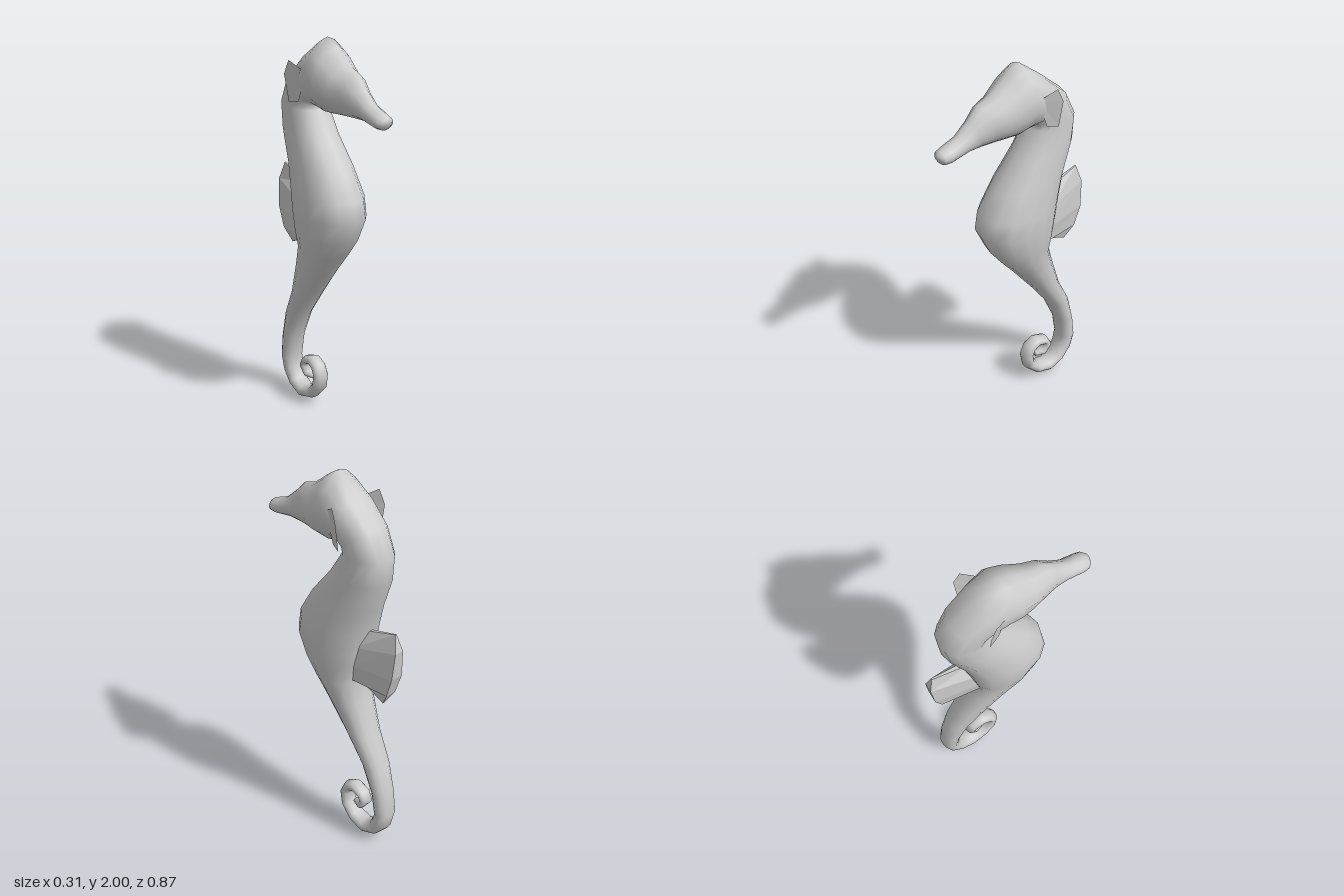
import * as THREE from 'three';

const material = new THREE.MeshStandardMaterial({ color: 0xcccccc });
const flat = new THREE.MeshStandardMaterial({ color: 0xcccccc, flatShading: true, side: THREE.DoubleSide });

// Closed skin over equal-sized rings, with a fan cap at both ends
function loft(rings) {
  const n = rings[0].length, last = (rings.length - 1) * n;
  const points = rings.flat(), index = [];
  const centre = ring => ring.reduce((s, p) => s.add(p), new THREE.Vector3()).divideScalar(n);
  points.push(centre(rings[0]), centre(rings[rings.length - 1]));
  for (let j = 0; j < n; j++) {
    const k = (j + 1) % n;
    for (let r = 0; r < last; r += n) {
      index.push(r + j, r + k, r + n + k, r + j, r + n + k, r + n + j);
    }
    index.push(points.length - 2, k, j, points.length - 1, last + j, last + k);
  }
  const geometry = new THREE.BufferGeometry().setFromPoints(points);
  geometry.setIndex(index);
  geometry.computeVertexNormals();
  return geometry;
}

// Ring between an inner and an outer point of the side profile
function section([zIn, yIn, zOut, yOut, width], roundness, sides = 14) {
  return Array.from({ length: sides }, (_, j) => {
    const t = j / sides * Math.PI * 2, s = Math.sin(t), c = Math.cos(t);
    return new THREE.Vector3(
      width * Math.sign(s) * Math.abs(s) ** roundness,
      (yIn + yOut) / 2 + (yOut - yIn) / 2 * c,
      (zIn + zOut) / 2 + (zOut - zIn) / 2 * c);
  });
}

// Side profiles: inner z, y, outer z, y, half width
const head = [
  [0.425, 1.66, 0.432, 1.70, 0.025],
  [0.41, 1.645, 0.415, 1.713, 0.045],
  [0.375, 1.643, 0.385, 1.725, 0.05],
  [0.27, 1.66, 0.32, 1.75, 0.05],
  [0.20, 1.655, 0.25, 1.81, 0.062],
  [0.12, 1.65, 0.195, 1.865, 0.085],
  [0.05, 1.645, 0.125, 1.887, 0.105],
  [0, 1.64, 0.03, 1.96, 0.125],
  [-0.06, 1.65, -0.035, 2.0, 0.13],
];
const torso = [
  [-0.10, 1.67, -0.155, 1.905, 0.122],
  [-0.105, 1.655, -0.285, 1.79, 0.113],
  [-0.10, 1.635, -0.35, 1.655, 0.11],
  [-0.02, 1.51, -0.34, 1.525, 0.12],
  [0.10, 1.365, -0.285, 1.365, 0.138],
  [0.18, 1.23, -0.25, 1.23, 0.157],
  [0.195, 1.13, -0.235, 1.13, 0.16],
  [0.14, 1.01, -0.215, 1.03, 0.148],
  [0.075, 0.92, -0.195, 0.94, 0.13],
  [0, 0.825, -0.23, 0.82, 0.112],
  [-0.13, 0.65, -0.29, 0.635, 0.087],
  [-0.24, 0.49, -0.365, 0.48, 0.072],
  [-0.31, 0.33, -0.402, 0.33, 0.064],
  [-0.33, 0.20, -0.42, 0.20, 0.06],
];
const curl = [
  [-0.315, 0.15, -0.40, 0.11, 0.058],
  [-0.29, 0.095, -0.34, 0.04, 0.055],
  [-0.24, 0.075, -0.25, 0, 0.052],
  [-0.18, 0.09, -0.155, 0.03, 0.048],
  [-0.14, 0.13, -0.085, 0.105, 0.045],
  [-0.13, 0.185, -0.07, 0.185, 0.043],
  [-0.145, 0.215, -0.10, 0.25, 0.042],
  [-0.17, 0.222, -0.16, 0.28, 0.04],
  [-0.205, 0.215, -0.235, 0.25, 0.04],
  [-0.213, 0.195, -0.265, 0.195, 0.037],
  [-0.195, 0.175, -0.22, 0.135, 0.033],
  [-0.165, 0.17, -0.16, 0.14, 0.015],
];

// Fin on the back: root z, y, tip z, y, root and tip half widths
const dorsal = [
  [-0.21, 1.235, -0.41, 1.295, 0.012, 0.004],
  [-0.19, 1.15, -0.435, 1.205, 0.06, 0.025],
  [-0.18, 1.05, -0.425, 1.06, 0.07, 0.035],
  [-0.17, 0.96, -0.39, 0.95, 0.06, 0.03],
  [-0.17, 0.955, -0.345, 0.875, 0.01, 0.005],
];

// Thin fin beside the cheek; side is 1 or -1
function cheekFin(side) {
  const outline = [
    [0.11, 1.84, -0.06], [0.15, 1.89, -0.14], [0.157, 1.82, -0.17],
    [0.135, 1.68, -0.165], [0.115, 1.69, -0.11],
  ].map(([x, y, z]) => new THREE.Vector3(x * side, y, z));
  const geometry = new THREE.BufferGeometry().setFromPoints(outline);
  geometry.setIndex(side > 0 ? [0, 2, 1, 0, 3, 2, 0, 4, 3] : [0, 1, 2, 0, 2, 3, 0, 3, 4]);
  geometry.computeVertexNormals();
  return geometry;
}

export function createModel() {
  const model = new THREE.Group();
  model.name = 'seahorse';
  const add = (name, geometry, mat) => {
    const mesh = new THREE.Mesh(geometry, mat);
    mesh.name = name;
    model.add(mesh);
  };

  // Snout, head, trunk and curled tail in one smooth skin
  add('body', loft([
    ...head.map(s => section(s, 1.3)),
    ...torso.map(s => section(s, 0.85)),
    ...curl.map(s => section(s, 1)),
  ]), material);

  add('dorsalFin', loft(dorsal.map(([zr, yr, zt, yt, wr, wt]) => [
    new THREE.Vector3(wt, yt, zt), new THREE.Vector3(wr, yr, zr),
    new THREE.Vector3(-wr, yr, zr), new THREE.Vector3(-wt, yt, zt),
  ])), flat);

  add('leftCheekFin', cheekFin(1), flat);
  add('rightCheekFin', cheekFin(-1), flat);
  return model;
}
